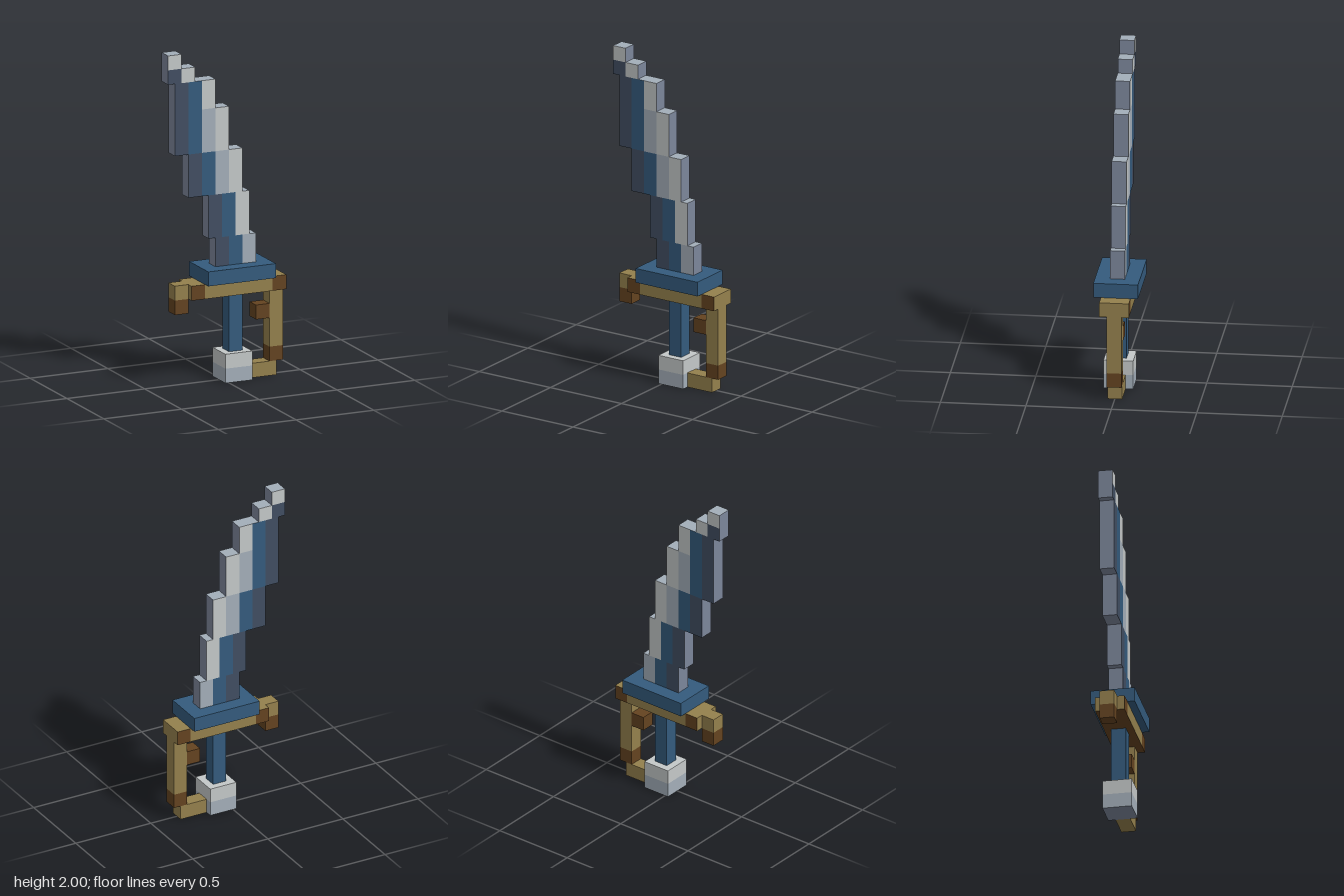
import * as THREE from 'three';

const U = 2 / 23; // one voxel

export function createModel() {
  const mat = (name, color) => {
    const m = new THREE.MeshStandardMaterial({ color });
    m.name = name;
    return m;
  };
  const light = mat('light steel', 0xc4c8c8);
  const mid = mat('mid steel', 0xa3aeb9);
  const slate = mat('slate steel', 0x7c869a);
  const dark = mat('dark steel', 0x414e62);
  const blue = mat('blue', 0x345b7d);
  const gold = mat('gold', 0x94804d);
  const brown = mat('brown', 0x644320);

  const model = new THREE.Group();
  model.name = 'sabre';
  const group = (name) => {
    const g = new THREE.Group();
    g.name = name;
    model.add(g);
    return g;
  };
  // Box from corner ranges in voxels, centred in z; m is one material or six
  const box = (parent, name, x0, x1, y0, y1, depth, m) => {
    const geo = new THREE.BoxGeometry((x1 - x0) * U, (y1 - y0) * U, depth * U);
    const mesh = new THREE.Mesh(geo, m);
    mesh.name = name;
    mesh.position.set(((x0 + x1) / 2) * U, ((y0 + y1) / 2) * U, 0);
    parent.add(mesh);
  };
  // Steel: coloured broad faces, slate edges, mid top
  const steel = (face) => [slate, slate, mid, slate, face, face];

  // Blade: each row lists left x, bottom, top and face colours of unit columns
  const blade = group('blade');
  const rows = [
    [-0.75, 8, 10, [dark, blue, mid]],
    [-1.25, 10, 13, [dark, blue, light]],
    [-2.75, 13, 16, [dark, blue, mid, light]],
    [-3.75, 16, 19, [dark, blue, mid, light]],
    [-3.75, 19, 21, [dark, blue, light]],
    [-4.25, 21, 22, [dark, light]],
    [-4.25, 22, 23, [light]],
  ];
  for (const [x, y0, y1, faces] of rows) {
    faces.forEach((f, i) => box(blade, 'bladeColumn', x + i, x + i + 1, y0, y1, 1, steel(f)));
  }

  // Grip and collar
  const hilt = group('hilt');
  box(hilt, 'collar', -1.75, 3.25, 7, 8, 3, blue);
  box(hilt, 'grip', 0.25, 1.25, 2, 6, 1, blue);

  // Pommel
  const pommel = group('pommel');
  box(pommel, 'pommelTop', -0.25, 1.75, 1, 2, 2, light);
  box(pommel, 'pommelBase', -0.25, 1.75, 0, 1, 2, [mid, mid, mid, slate, mid, mid]);

  // Crossguard with brown end faces and a hooked tip
  const guard = group('crossguard');
  const goldPlate = [gold, gold, gold, brown, gold, gold];
  const brownEnd = [gold, gold, gold, brown, brown, brown];
  box(guard, 'guardPlate', -1.75, 3.25, 6, 7, 2, goldPlate);
  box(guard, 'guardEndRight', -2.75, -1.75, 6, 7, 2, brownEnd);
  box(guard, 'guardEndLeft', 3.25, 4.25, 6, 7, 2, brownEnd);
  box(guard, 'hook', -3.75, -2.75, 6, 7, 1, gold);
  box(guard, 'hookTip', -3.75, -2.75, 5, 6, 1, brown);

  // Knuckle bow
  const bow = group('knuckleBow');
  box(bow, 'bowBar', 3.25, 4.25, 2, 6, 1, gold);
  box(bow, 'bowCorner', 3.25, 4.25, 1, 2, 1, brown);
  box(bow, 'bowFoot', 1.75, 3.75, 0, 1, 1, gold);
  box(bow, 'bowStud', 2.25, 3.25, 4, 5, 1, brown);

  return model;
}
